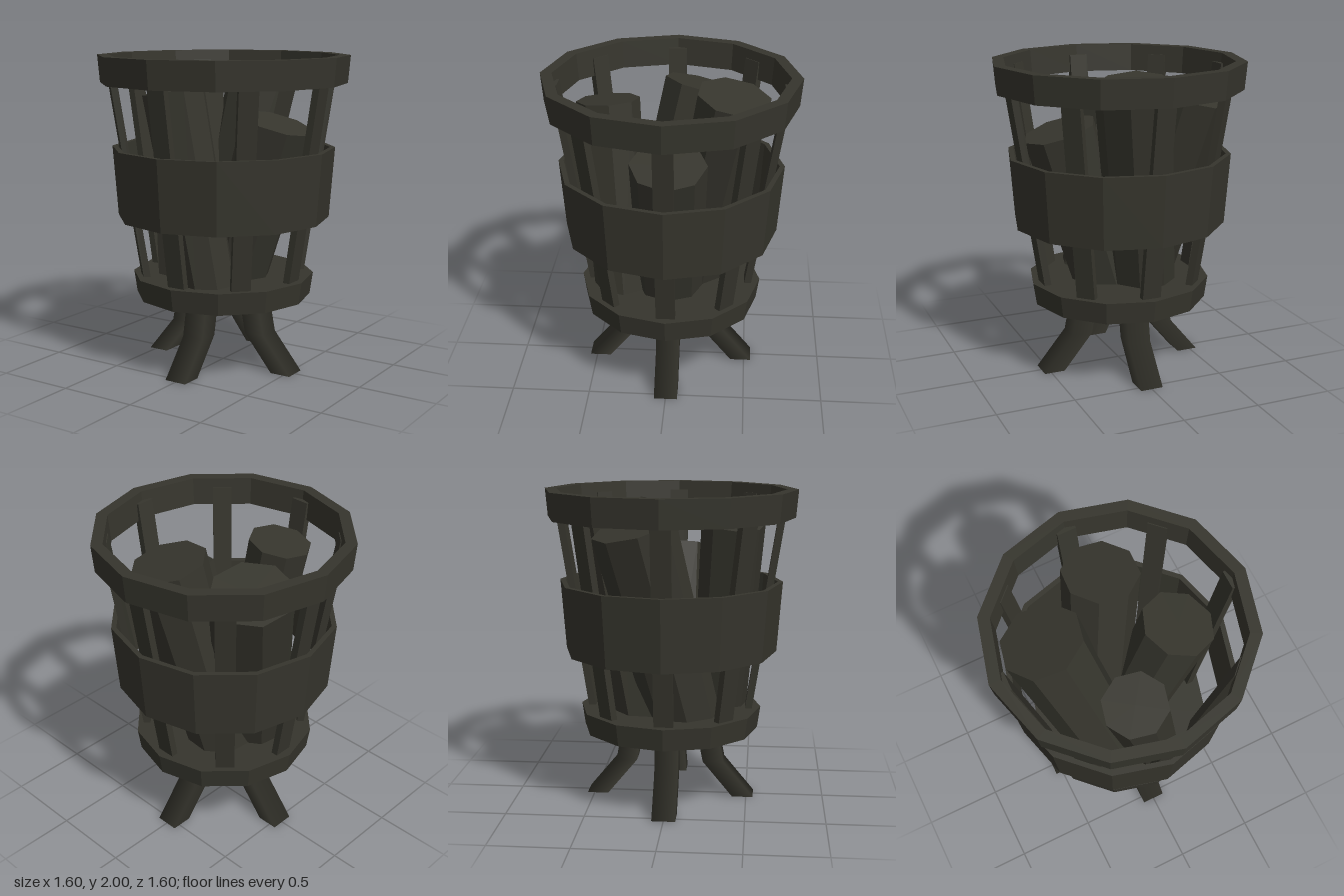
import * as THREE from 'three';

const wood = new THREE.MeshStandardMaterial({ color: 0x36352d });
wood.name = 'dark wood';

// Give every face its own flat normal
function faceted(geometry) {
  const g = geometry.index ? geometry.toNonIndexed() : geometry;
  g.computeVertexNormals();
  return g;
}

function part(name, geometry) {
  const mesh = new THREE.Mesh(geometry, wood);
  mesh.name = name;
  return mesh;
}

// Twelve-sided flared hoop of constant wall thickness
function hoop(name, y0, y1, r0, r1, wall) {
  const profile = [[r0, y0], [r1, y1], [r1 - wall, y1], [r0 - wall, y0], [r0, y0]]
    .map(([r, y]) => new THREE.Vector2(r, y));
  return part(name, faceted(new THREE.LatheGeometry(profile, 12)));
}

// Upright slat following the flare of the bucket
function slatGeometry() {
  const bottom = 0.47, top = 1.94, thick = 0.045;
  const g = new THREE.BoxGeometry(thick, top - bottom, 0.12);
  g.translate(0, (top + bottom) / 2, 0);
  const p = g.attributes.position;
  for (let i = 0; i < p.count; i++) {
    p.setX(i, p.getX(i) + 0.51 - thick / 2 + (p.getY(i) - bottom) * 0.155);
  }
  return faceted(g);
}

// Bent square leg with smooth shading, shifted outward towards the foot
function legGeometry() {
  const g = new THREE.CylinderGeometry(0.1, 0.1, 0.47, 4, 2);
  g.rotateY(Math.PI / 4);
  g.scale(0.96, 1, 1.05);
  g.translate(0, 0.235, 0);
  const p = g.attributes.position;
  for (let i = 0; i < p.count; i++) {
    const y = p.getY(i);
    const shift = y > 0.4 ? 0.238 : y > 0.1 ? 0.284 : 0.478;
    p.setX(i, p.getX(i) + shift);
  }
  return g;
}

// Eight-sided log running from its base centre to its top centre
function log(name, base, top, radius, twist) {
  const a = new THREE.Vector3(...base), b = new THREE.Vector3(...top);
  const axis = b.clone().sub(a);
  const g = new THREE.CylinderGeometry(radius, radius * 0.88, axis.length(), 8);
  g.rotateY(twist);
  const mesh = part(name, faceted(g));
  mesh.position.copy(a).add(b).multiplyScalar(0.5);
  mesh.quaternion.setFromUnitVectors(new THREE.Vector3(0, 1, 0), axis.normalize());
  return mesh;
}

export function createModel() {
  const model = new THREE.Group();
  model.name = 'logBasket';

  // Hoops and solid base
  model.add(
    hoop('topHoop', 1.825, 2, 0.785, 0.8, 0.072),
    hoop('middleHoop', 0.97, 1.42, 0.68, 0.713, 0.032),
  );
  const base = part('base', faceted(new THREE.CylinderGeometry(0.585, 0.565, 0.14, 12)));
  base.position.y = 0.53;
  model.add(base);

  // Eight slats
  const slat = slatGeometry();
  for (let i = 0; i < 8; i++) {
    const mesh = part('slat', slat);
    mesh.rotation.y = i * Math.PI / 4;
    model.add(mesh);
  }

  // Four legs
  const leg = legGeometry();
  for (let i = 0; i < 4; i++) {
    const mesh = part('leg', leg);
    mesh.rotation.y = i * Math.PI / 2;
    model.add(mesh);
  }

  // Logs leaning outward against the slats
  model.add(
    log('rightLog', [-0.17, 0.53, 0.11], [-0.41, 1.8, -0.19], 0.26, 0.2),
    log('backLog', [-0.12, 0.52, -0.13], [0.07, 1.9, -0.39], 0.235, 0.3),
    log('leftLog', [0.08, 0.53, 0], [0.4, 1.59, -0.01], 0.235, 0),
    log('frontLog', [0.1, 0.53, 0.31], [-0.1, 1.8, 0.4], 0.2, 0.15),
  );
  return model;
}
